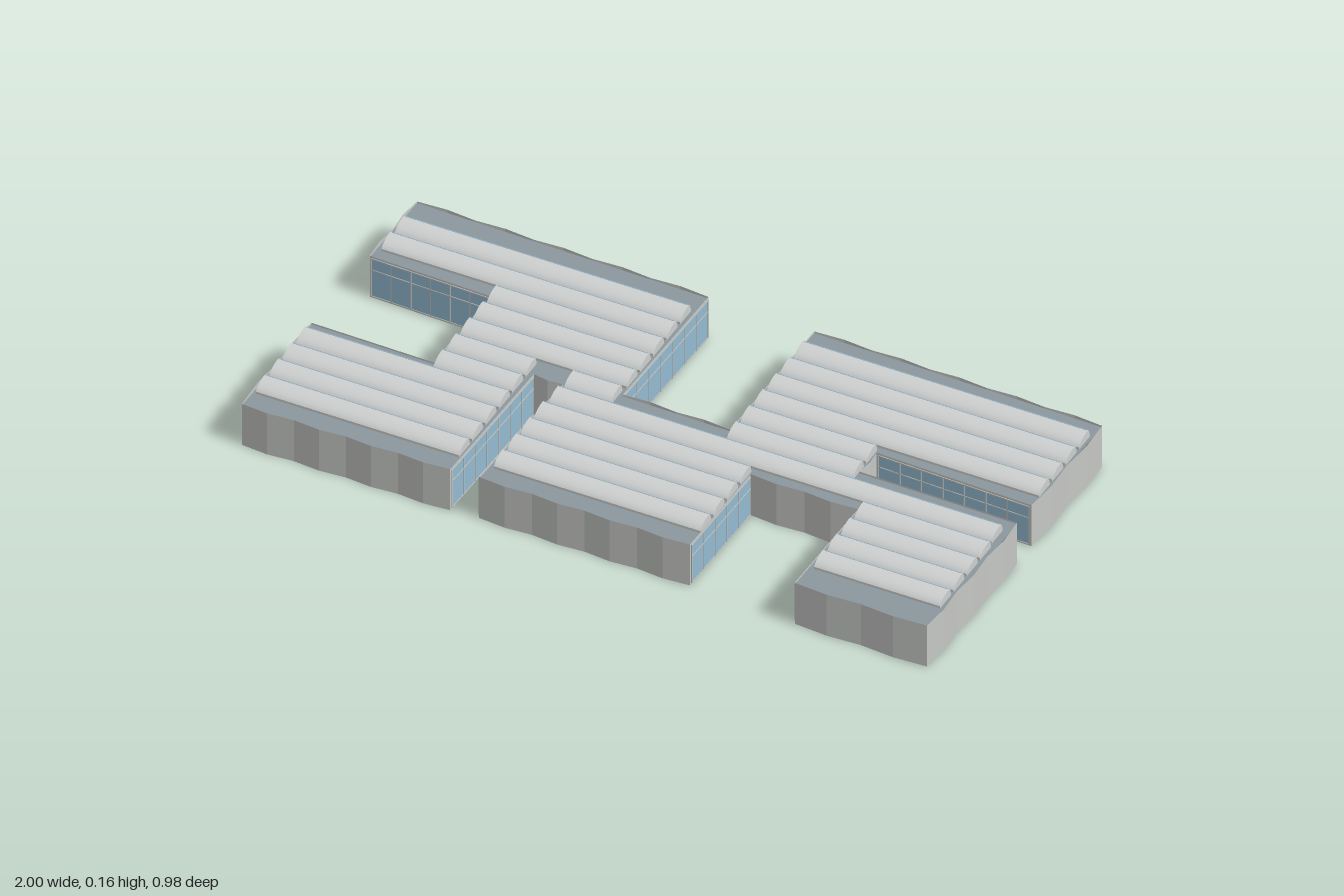
import * as THREE from 'three';

const WALL_TOP = 0.132, ROOF_Y = 0.127;

const mat = (name, color, side = THREE.FrontSide) => {
  const m = new THREE.MeshStandardMaterial({ color, side });
  m.name = name;
  return m;
};

// Footprint corners [x, z, glazed], clockwise from above; the flag belongs to the edge that starts there
const FOOTPRINT = [
  [-0.98, -0.49, 0], [-0.14, -0.475, 1], [-0.15, -0.015, 0], [0.16, -0.01, 1],
  [0.165, -0.47, 0], [0.995, -0.455, 0], [0.985, -0.08, 1], [0.535, -0.095, 0],
  [0.53, -0.005, 1], [0.985, 0, 0], [0.975, 0.485, 0], [0.595, 0.48, 1],
  [0.60, 0.135, 0], [0.29, 0.13, 1], [0.285, 0.46, 0], [-0.32, 0.455, 1],
  [-0.305, 0.015, 0], [-0.39, 0.012, 1], [-0.40, 0.46, 0], [-0.995, 0.46, 0],
  [-0.99, 0.08, 1], [-0.635, 0.085, 0], [-0.63, -0.225, 1], [-0.985, -0.235, 0],
];

// Roof vaults per row, front to back: [x start, x end]
const WINGS = [[-0.985, -0.405], [-0.305, 0.285], [0.61, 0.97]];
const BACK_RIGHT = [0.17, 0.985];
const ROWS = [
  WINGS, WINGS, WINGS, WINGS,
  [[-0.63, -0.405], [-0.30, 0.965]],
  [[-0.63, -0.405], [-0.295, -0.16], [0.17, 0.53]],
  [[-0.63, -0.155], [0.17, 0.53]],
  [[-0.63, -0.155], BACK_RIGHT], [[-0.63, -0.155], BACK_RIGHT],
  [[-0.97, -0.155], BACK_RIGHT], [[-0.97, -0.155], BACK_RIGHT],
];
const ROW_START = 0.402, ROW_STEP = 0.0747;

export function createModel() {
  const model = new THREE.Group();
  model.name = 'sawtoothHall';
  const wallMat = mat('concrete wall', 0xc6c8c5, THREE.DoubleSide);
  const roofMat = mat('slate roof', 0x8c979f, THREE.DoubleSide);
  const vaultMat = mat('pale metal', 0xced1cf);
  const glassMat = mat('blue glass', 0x94bad2);
  const frameMat = mat('window frame', 0xbfc2be);

  const add = (parent, name, geo, material, x = 0, y = 0, z = 0) => {
    const m = new THREE.Mesh(geo, material);
    m.name = name;
    m.position.set(x, y, z);
    parent.add(m);
    return m;
  };

  // Flat roof deck
  const deck = new THREE.ShapeGeometry(
    new THREE.Shape(FOOTPRINT.map(([x, z]) => new THREE.Vector2(x, -z))));
  deck.rotateX(-Math.PI / 2);
  add(model, 'roofDeck', deck, roofMat, 0, ROOF_Y, 0);

  // Walls: folded panels on solid sides, flat with window grids on courtyard sides
  FOOTPRINT.forEach(([x, z, glazed], i) => {
    const [x2, z2] = FOOTPRINT[(i + 1) % FOOTPRINT.length];
    const length = Math.hypot(x2 - x, z2 - z);
    const side = new THREE.Group(); // local x runs along the wall, local -z points outward
    side.name = glazed ? 'glazedSide' : 'solidSide';
    side.position.set(x, 0, z);
    side.rotation.y = Math.atan2(-(z2 - z), x2 - x);
    model.add(side);

    const panels = glazed ? 1 : Math.max(2, 2 * Math.round(length / 0.084 / 2));
    let wall = new THREE.PlaneGeometry(length, WALL_TOP, panels, 1);
    wall.rotateY(Math.PI);
    const p = wall.attributes.position;
    for (let k = 0; k < p.count; k++) {
      if ((k % (panels + 1)) % 2 === 1 && !glazed) p.setZ(k, -0.006);
    }
    wall = wall.toNonIndexed();
    wall.computeVertexNormals();
    add(side, 'wall', wall, wallMat, length / 2, WALL_TOP / 2, 0);
    if (!glazed) return;

    // Window panes with thin bars
    const w = length - 0.012, h = WALL_TOP - 0.012, cy = WALL_TOP / 2;
    add(side, 'glass', new THREE.BoxGeometry(w, h, 0.002), glassMat, length / 2, cy, -0.001);
    const columns = Math.max(2, Math.round(w / 0.06));
    for (let c = 0; c <= columns; c++) {
      add(side, 'mullion', new THREE.BoxGeometry(0.003, h, 0.002), frameMat,
        0.006 + w * c / columns, cy, -0.0025);
    }
    for (const f of [-0.5, 0.2, 0.5]) {
      add(side, 'transom', new THREE.BoxGeometry(w, 0.003, 0.002), frameMat,
        length / 2, cy + f * h, -0.0025);
    }
  });

  // Vault section: u runs from front to back, curved metal face, then a steep glazed back
  const section = new THREE.Shape();
  section.moveTo(0, 0);
  section.lineTo(0, 0.007);
  section.bezierCurveTo(0.008, 0.018, 0.026, 0.027, 0.05, 0.0265);
  section.bezierCurveTo(0.056, 0.026, 0.06, 0.016, 0.062, 0);
  section.closePath();
  // Skylight strip laid just over the back curve
  const light = new THREE.Shape();
  light.moveTo(0.0495, 0.027);
  light.bezierCurveTo(0.057, 0.0265, 0.0615, 0.016, 0.0635, 0.001);
  light.lineTo(0.061, 0.001);
  light.bezierCurveTo(0.059, 0.016, 0.055, 0.025, 0.0495, 0.0255);
  light.closePath();

  const strip = (shape, length) => {
    const g = new THREE.ExtrudeGeometry(shape, { depth: length, bevelEnabled: false, curveSegments: 8 });
    g.rotateY(Math.PI / 2); // shape u becomes -z, depth becomes +x
    return g;
  };

  ROWS.forEach((spans, row) => {
    const z = ROW_START - row * ROW_STEP;
    for (const [a, b] of spans) {
      const vault = new THREE.Group();
      vault.name = 'roofVault';
      vault.position.set(a, ROOF_Y + 0.001, z);
      model.add(vault);
      add(vault, 'vaultShell', strip(section, b - a), vaultMat);
      add(vault, 'skylight', strip(light, b - a - 0.008), glassMat, 0.004, 0, 0);
    }
  });

  return model;
}
